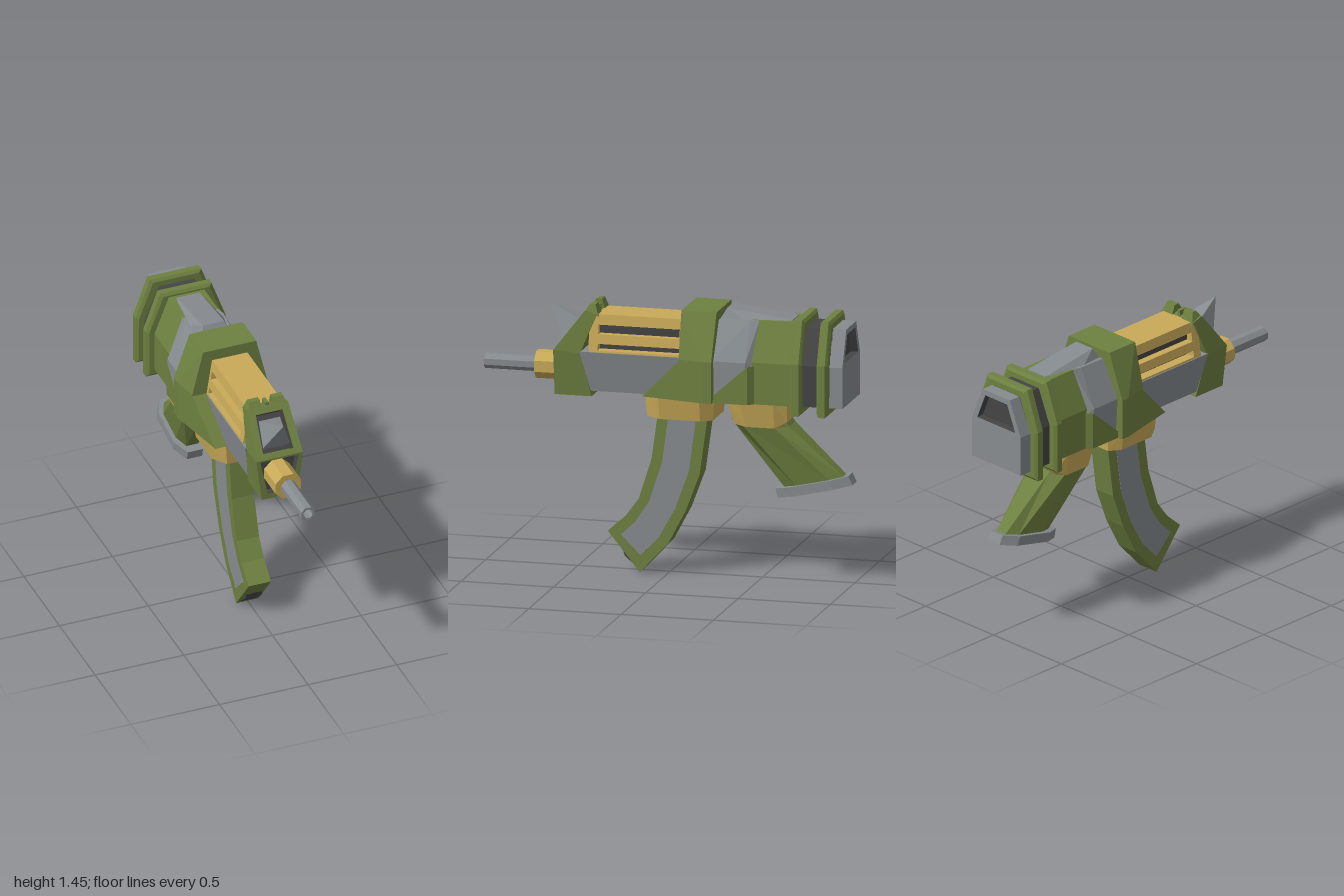
import * as THREE from 'three';
import { ConvexGeometry } from 'three/addons/geometries/ConvexGeometry.js';

const mat = (color, side = THREE.FrontSide) =>
  new THREE.MeshStandardMaterial({ color, flatShading: true, side });
const GREEN = mat(0x6e8040), GOLD = mat(0xc8a957), GREY = mat(0x868b8f);
const DARK = mat(0x444444), LINER = mat(0x444444, THREE.DoubleSide);

export function createModel() {
  const model = new THREE.Group();

  const add = (name, material, geometry) => {
    const mesh = new THREE.Mesh(geometry, material);
    mesh.name = name;
    model.add(mesh);
    return mesh;
  };
  // convex solid from corner points [x, y, z]
  const hull = (name, material, pts) =>
    add(name, material, new ConvexGeometry(pts.map(p => new THREE.Vector3(...p))));
  // convex solid from one half of its corners, mirrored in x
  const symHull = (name, material, half) =>
    hull(name, material, half.flatMap(([x, y, z]) => [[x, y, z], [-x, y, z]]));
  const box = (name, material, x, y, z, w, h, d) =>
    add(name, material, new THREE.BoxGeometry(w, h, d).translate(x, y, z));

  // skin through rings of equal length; winding is set from the signed volume
  const loft = (name, material, rings, capStart = true, capEnd = true) => {
    const tris = [], n = rings[0].length;
    const centre = new THREE.Vector3();
    const R = rings.map(r => r.map(p => new THREE.Vector3(...p)));
    R.flat().forEach(p => centre.addScaledVector(p, 1 / (n * R.length)));
    for (let k = 0; k < R.length - 1; k++) {
      for (let i = 0; i < n; i++) {
        const j = (i + 1) % n, a = R[k], b = R[k + 1];
        tris.push([a[i], a[j], b[j]], [a[i], b[j], b[i]]);
      }
    }
    const last = R[R.length - 1];
    for (let i = 1; i < n - 1; i++) {
      if (capStart) tris.push([R[0][0], R[0][i + 1], R[0][i]]);
      if (capEnd) tris.push([last[0], last[i], last[i + 1]]);
    }
    let volume = 0;
    for (const t of tris) {
      const [a, b, c] = t.map(p => p.clone().sub(centre));
      volume += a.dot(b.cross(c));
    }
    if (volume < 0) tris.forEach(t => t.reverse());
    const g = new THREE.BufferGeometry().setFromPoints(tris.flat());
    g.computeVertexNormals();
    return add(name, material, g);
  };
  // symmetric quad: lower edge and upper edge as [halfWidth, y, z]
  const quad = ([w, y, z], [W, Y, Z]) => [[-w, y, z], [w, y, z], [W, Y, Z], [-W, Y, Z]];
  // solid whose front quad holds a dark pocket
  const pocket = (name, material, back, front, lip, floor) => {
    loft(name, material, [back, front, lip], true, false);
    loft(name + 'Recess', LINER, [lip, floor], false, true);
  };
  // side profile of [z, y] extruded across x
  const slab = (name, material, profile, halfWidth) => {
    const g = new THREE.ExtrudeGeometry(
      new THREE.Shape(profile.map(([z, y]) => new THREE.Vector2(-z, y))),
      { depth: 2 * halfWidth, bevelEnabled: false });
    return add(name, material, g.translate(0, 0, -halfWidth).rotateY(Math.PI / 2));
  };
  const tube = (name, material, r, inner, z0, z1) => {
    const pts = [[inner, z0], [r, z0], [r, z1], [inner, z1], [inner, z0]];
    const g = new THREE.LatheGeometry(pts.map(p => new THREE.Vector2(...p)), 8);
    return add(name, material, g.rotateY(Math.PI / 8).rotateX(Math.PI / 2).translate(0, 1.08, 0));
  };

  // barrel and collar
  tube('barrel', GREY, 0.042, 0.028, 0.5, 1);
  tube('barrelBore', DARK, 0.03, 0.001, 0.5, 0.93);
  tube('barrelCollar', GOLD, 0.077, 0.038, 0.5, 0.72);

  // nose block with two pockets
  pocket('noseLower', GREEN,
    quad([0.1, 0.945, 0.4], [0.13, 1.18, 0.455]),
    quad([0.1, 0.945, 0.6], [0.132, 1.19, 0.6]),
    quad([0.066, 0.975, 0.6], [0.108, 1.18, 0.6]),
    quad([0.066, 0.975, 0.56], [0.108, 1.18, 0.56]));
  pocket('noseUpper', GREEN,
    quad([0.13, 1.18, 0.455], [0.115, 1.39, 0.37]),
    quad([0.132, 1.19, 0.6], [0.115, 1.41, 0.43]),
    quad([0.085, 1.215, 0.581], [0.075, 1.38, 0.453]),
    quad([0.085, 1.18, 0.541], [0.075, 1.345, 0.413]));
  for (const s of [-1, 1]) {
    hull('noseLug', GREEN, [0.035, 0.115].flatMap((x, i) => [
      [s * x, 1.38, 0.36], [s * x, 1.38, 0.45],
      [s * (x - i * 0.02), 1.44, 0.38], [s * (x - i * 0.02), 1.44, 0.41]]));
  }
  box('noseSight', GREEN, 0, 1.4, 0.4, 0.02, 0.05, 0.05);
  symHull('noseSpike', GREY, [[0, 1.412, 0.65], [0.075, 1.235, 0.555],
    [0.06, 1.34, 0.455], [0.06, 1.2, 0.52]]);

  // lower fore body
  symHull('foreBody', GREY, [[0.1, 0.975, 0.405], [0.135, 1.19, 0.458],
    [0.1, 0.975, -0.2], [0.135, 1.19, -0.2]]);

  // slatted upper fore body
  const slatWidth = y => 0.13 - (y - 1.19) * 0.15;
  const slat = (name, y0, y1, z0, z1) => symHull(name, GOLD,
    [y0, y1].flatMap(y => [z0, z1].map(z => [slatWidth(y), y, z])));
  box('slatCore', DARK, 0, 1.27, 0.12, 0.15, 0.19, 0.5);
  for (const [y0, y1] of [[1.185, 1.2], [1.235, 1.285], [1.335, 1.39]]) {
    slat('slat', y0, y1, -0.15, 0.39);
  }
  slat('slatFrontPost', 1.185, 1.38, 0.36, 0.41);
  slat('slatRearPost', 1.185, 1.38, -0.15, -0.08);

  // receiver with forward side wings
  symHull('receiver', GREEN, [
    ...[[-0.1, 0.21], [-0.24, 0.24], [-0.285, 0.24]].flatMap(([z, w]) =>
      [[w, 0.978, z], [w, 1.2, z]]),
    [0.15, 1.45, -0.1], [0.15, 1.45, -0.29]]);
  for (const s of [-1, 1]) {
    hull('receiverWing', GREEN, [[0.21, 0.978, -0.1], [0.21, 1.19, -0.1], [0.1, 1.19, -0.1],
      [0.1, 0.978, -0.1], [0.165, 0.978, 0.11], [0.1, 0.978, 0.11]]
      .map(([x, y, z]) => [s * x, y, z]));
  }

  // grey shoulder and its tapering top ridge
  symHull('shoulder', GREY, [
    [0.19, 1.0, -0.28], [0.205, 1.2, -0.28], [0.1, 1.4, -0.28],
    [0.205, 1.02, -0.32], [0.205, 1.2, -0.32], [0.205, 1.16, -0.46], [0.205, 1.2, -0.46],
    [0.11, 1.41, -0.46], [0.17, 1.16, -0.51], [0.1, 1.41, -0.51]]);
  symHull('topRidge', GREY, [[0.06, 1.458, -0.325], [0.08, 1.39, -0.285],
    [0.11, 1.39, -0.46], [0.065, 1.415, -0.68], [0.08, 1.38, -0.68]]);

  // rear body: main block and the low wedge reaching forward
  symHull('rearBody', GREEN, [-0.47, -0.71].flatMap(z =>
    [[0.18, 0.976, z], [0.18, 1.2, z], [0.1, 1.41, z]]));
  symHull('rearWedge', GREEN, [[0.208, 0.976, -0.27], [0.208, 1.0, -0.27],
    [0.208, 1.18, -0.47], [0.208, 0.976, -0.47], [0.18, 1.18, -0.5], [0.18, 0.976, -0.5]]);

  // ribbed tail
  const tailRing = (grow, z) => [[0.18, 0.98], [0.18, 1.2], [0.1, 1.39]].map(([x, y], i) =>
    [x + grow, y + [-grow, grow * 0.3, grow][i], z]);
  symHull('tailCore', DARK, [...tailRing(0, -0.7), ...tailRing(0, -0.91)]);
  for (const z of [-0.735, -0.878]) {
    symHull('tailRib', GREEN, [[0.03, 0.03], [0.045, 0.018], [0.045, -0.018], [0.03, -0.03]]
      .flatMap(([grow, dz]) => tailRing(grow, z + dz)));
  }
  symHull('endCapLower', GREY, [-0.9, -0.98].flatMap(z => [[0.18, 0.98, z], [0.18, 1.2, z]]));
  pocket('endCapUpper', GREY,
    quad([0.18, 1.2, -0.9], [0.1, 1.39, -0.9]),
    quad([0.18, 1.2, -0.98], [0.1, 1.39, -0.98]),
    quad([0.14, 1.215, -0.98], [0.08, 1.36, -0.98]),
    quad([0.14, 1.215, -0.94], [0.08, 1.36, -0.94]));

  // magazine well and curved magazine
  symHull('magazineWell', GOLD, [
    [0.105, 0.98, 0.11], [0.17, 0.98, 0.02], [0.17, 0.98, -0.2], [0.12, 0.98, -0.27],
    [0.095, 0.858, 0.1], [0.15, 0.858, 0.02], [0.15, 0.858, -0.2], [0.11, 0.858, -0.26]]);
  const front = [[0.06, 0.9], [0.055, 0.84], [0.085, 0.62], [0.155, 0.4], [0.225, 0.305], [0.322, 0.218]];
  const rear = [[-0.217, 0.9], [-0.215, 0.84], [-0.175, 0.55], [-0.1, 0.35], [-0.005, 0.17], [0.148, 0.005]];
  slab('magazine', GREEN, [...front, ...rear.slice().reverse()], 0.063);
  const between = t => front.map(([z, y], i) =>
    [z + (rear[i][0] - z) * t, y + (rear[i][1] - y) * t]);
  const panelFront = between(0.22), panelRear = between(0.78);
  for (const edge of [panelFront, panelRear]) {
    const end = edge[5], prev = edge[4];
    edge[5] = [0, 1].map(k => end[k] + (prev[k] - end[k]) * 0.3);
  }
  slab('magazinePanel', GREY, [...panelFront, ...panelRear.reverse()], 0.065);
  slab('magazineFoot', DARK, [[0.235, 0.085], [0.245, 0.115], [0.17, 0.03], [0.155, 0.015]], 0.045);

  // grip mount, grip and butt plate
  symHull('gripMount', GOLD, [
    [0.1, 0.978, -0.33], [0.165, 0.978, -0.42], [0.165, 0.978, -0.6], [0.12, 0.978, -0.665],
    [0.08, 0.842, -0.367], [0.14, 0.842, -0.44], [0.14, 0.842, -0.6], [0.09, 0.842, -0.63],
    [0.12, 0.875, -0.665]]);
  const gripRing = (y, w, z0, z1, dy) => {
    const c = 0.22, at = t => [y + dy * t, z0 + (z1 - z0) * t];
    return [[w * 0.5, 0], [w, c], [w, 1 - c], [w * 0.5, 1], [-w * 0.5, 1],
      [-w, 1 - c], [-w, c], [-w * 0.5, 0]].map(([x, t]) => [x, ...at(t)]);
  };
  loft('grip', GREEN, [gripRing(0.87, 0.13, -0.35, -0.64, 0), gripRing(0.84, 0.125, -0.365, -0.66, 0),
    gripRing(0.5, 0.062, -0.63, -0.95, 0.075)]);
  const plateTop = gripRing(0.497, 0.086, -0.58, -0.975, 0.09);
  const plateLow = gripRing(0.447, 0.086, -0.592, -0.998, 0.093);
  const plateLip = gripRing(0.451, 0.064, -0.615, -0.975, 0.083);
  const plateFloor = plateLip.map(([x, y, z]) => [x, y + 0.025, z + 0.006]);
  loft('buttPlate', GREY, [plateTop, plateLow, plateLip], true, false);
  loft('buttPlateRecess', LINER, [plateLip, plateFloor], false, true);

  return model;
}
